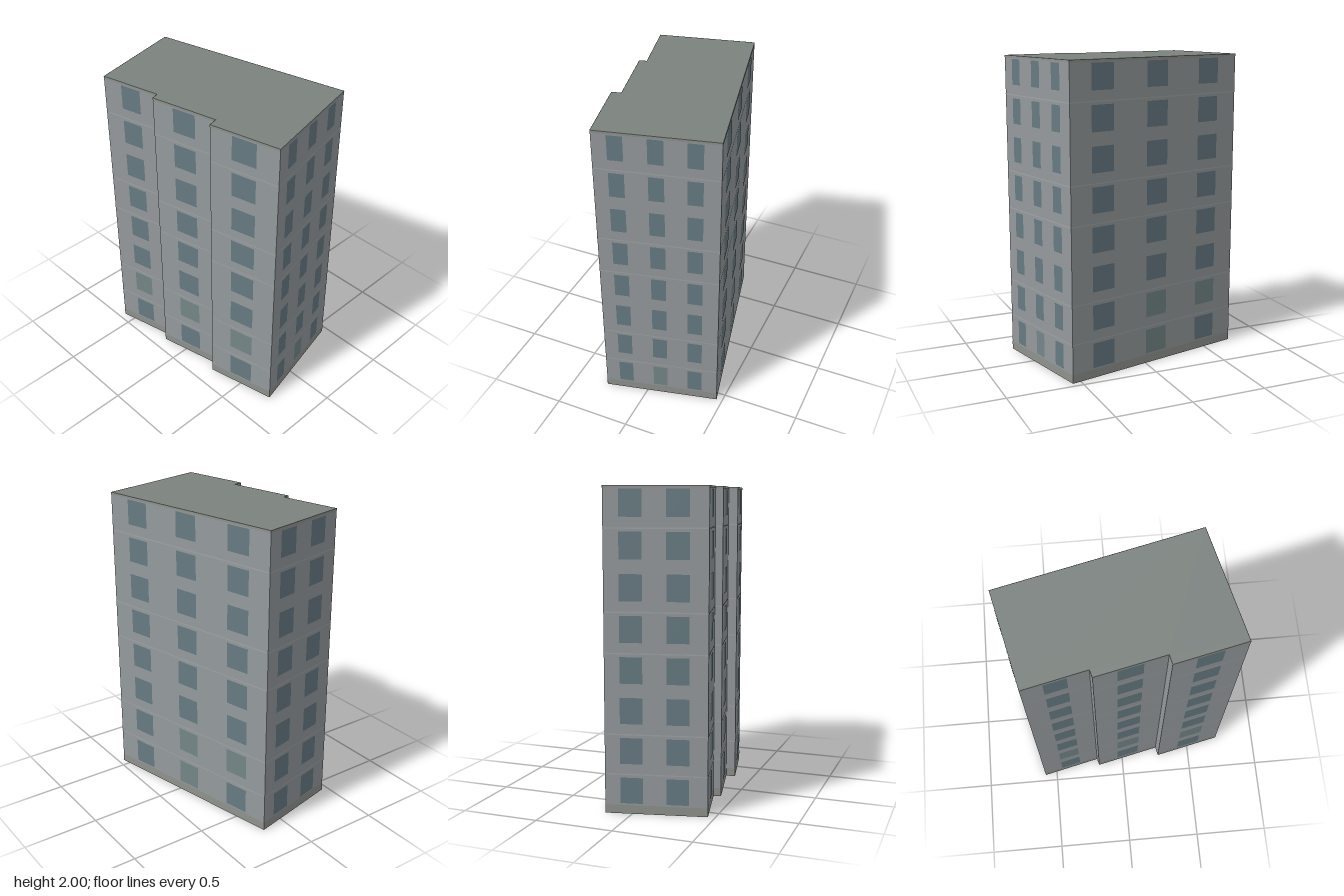
import * as THREE from 'three';

const HEIGHT = 2, FLOORS = 8, FLOOR_H = HEIGHT / FLOORS;

// Footprint corners (x, z), clockwise seen from above, with the window columns
// (centre fraction along the edge) and window width fraction of each edge's wall
const EDGES = [
  { name: 'backWall', at: [-0.725, -0.165], cols: [0.18, 0.5, 0.82], width: 0.125, pale: [[1, 0], [1, 1], [0, 1]] },
  { name: 'leftSideWall', at: [0.557, -0.46], cols: [0.2, 0.505, 0.816], width: 0.125, pale: [[0, 1]] },
  { name: 'frontWallLeft', at: [0.725, 0.275], cols: [0.5], width: 0.355, pale: [[1, 0]] },
  { name: 'frontStepLeft', at: [0.273, 0.375], cols: [] },
  { name: 'frontWallMiddle', at: [0.26, 0.315], cols: [0.5], width: 0.35, pale: [[1, 0]] },
  { name: 'frontStepRight', at: [-0.177, 0.412], cols: [] },
  { name: 'frontWallRight', at: [-0.19, 0.365], cols: [0.5], width: 0.345, pale: [[1, 0]] },
  { name: 'rightSideWall', at: [-0.585, 0.455], cols: [0.29, 0.74], width: 0.22, pale: [] },
];

const material = (color) => new THREE.MeshStandardMaterial({ color, side: THREE.DoubleSide });

export function createModel() {
  const building = new THREE.Group();
  building.name = 'apartmentBlock';
  const wallMat = material(0x959a9d), roofMat = material(0x7c837f), baseMat = material(0x8e928c);
  const lineMat = material(0xa0a4a5), glassMat = material(0x667b82), paleGlassMat = material(0x748688);

  // Flat upright rectangle on a wall, centred at x, from y0 to y1, at depth z
  const panel = (parent, name, mat, width, x, y0, y1, z) => {
    const mesh = new THREE.Mesh(new THREE.PlaneGeometry(width, y1 - y0), mat);
    mesh.name = name;
    mesh.position.set(x, (y0 + y1) / 2, z);
    parent.add(mesh);
  };

  EDGES.forEach(({ name, at: [x0, z0], cols, width, pale }, i) => {
    const [x1, z1] = EDGES[(i + 1) % EDGES.length].at;
    const dx = x1 - x0, dz = z1 - z0, length = Math.hypot(dx, dz);

    // Local +z is the outward normal of the wall
    const side = new THREE.Group();
    side.name = name;
    side.position.set((x0 + x1) / 2, 0, (z0 + z1) / 2);
    side.rotation.y = Math.atan2(dz, -dx);
    building.add(side);

    panel(side, 'wall', wallMat, length, 0, 0, HEIGHT, 0);
    panel(side, 'baseBand', baseMat, length, 0, 0, 0.055, 0.001);
    panel(side, 'roofBand', baseMat, length, 0, 1.985, HEIGHT, 0.001);

    // Thin pale joints between some of the storeys
    for (const y of [0.25, 0.5, 1, 1.25, 1.75]) {
      panel(side, 'floorLine', lineMat, length, 0, y - 0.004, y + 0.004, 0.001);
    }

    // One row of windows per storey
    for (let floor = 0; floor < FLOORS; floor++) {
      cols.forEach((t, c) => {
        const isPale = pale.some(([f, k]) => f === floor && k === c);
        const y = floor * FLOOR_H;
        panel(side, 'window', isPale ? paleGlassMat : glassMat, width * length,
          (0.5 - t) * length, y + 0.066, y + 0.229, 0.002);
      });
    }
  });

  // Flat roof; the underside of the block is open
  const outline = new THREE.Shape(EDGES.map(({ at: [x, z] }) => new THREE.Vector2(x, -z)));
  const roof = new THREE.Mesh(new THREE.ShapeGeometry(outline).rotateX(-Math.PI / 2), roofMat);
  roof.name = 'roof';
  roof.position.y = HEIGHT;
  building.add(roof);

  return building;
}
